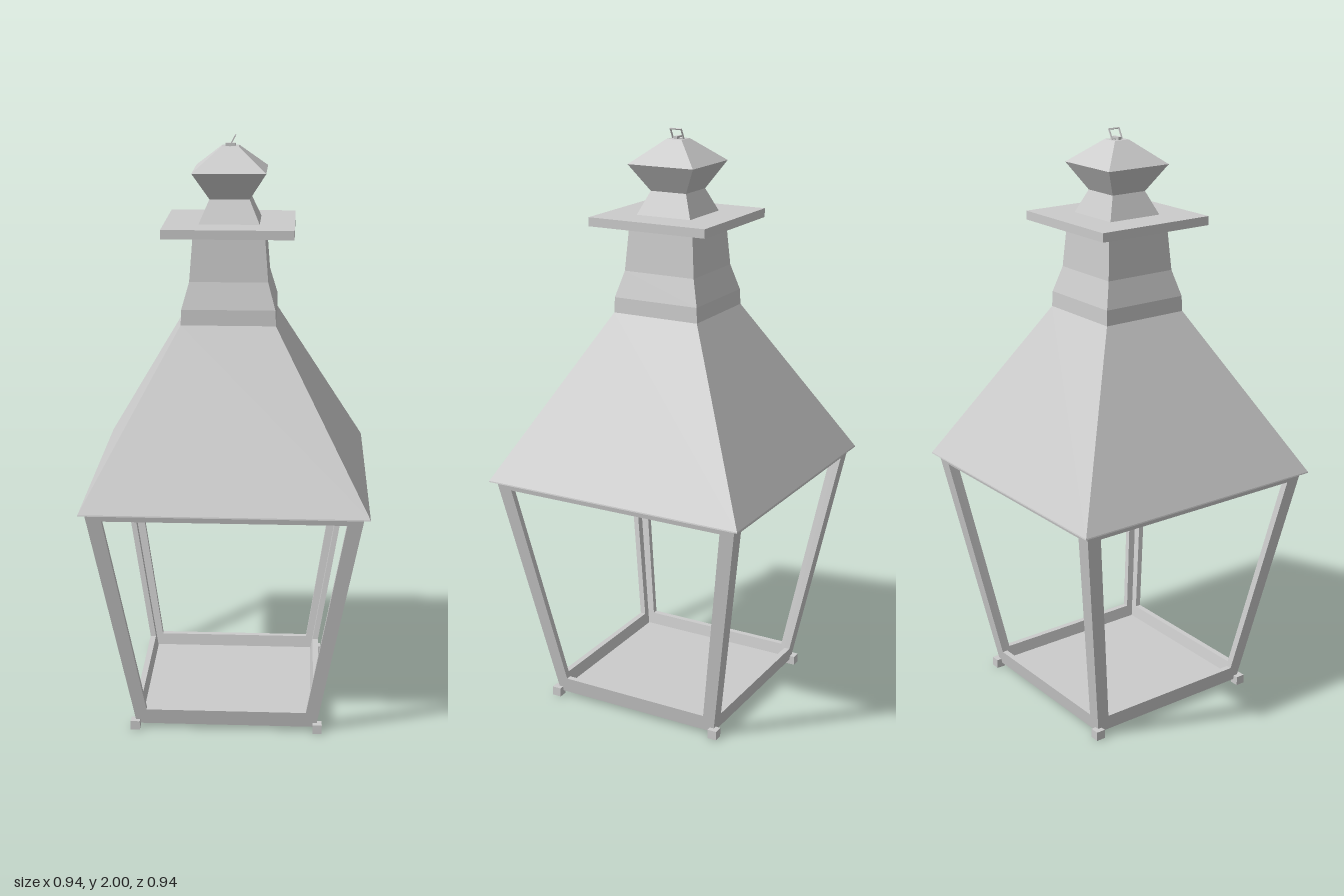
import * as THREE from 'three';

const material = new THREE.MeshStandardMaterial({ color: 0xcccccc, flatShading: true });

function add(parent, name, geometry) {
  const mesh = new THREE.Mesh(geometry, material);
  mesh.name = name;
  parent.add(mesh);
  return mesh;
}

// Closed square solid through [half width, height] sections, bottom to top
function squareLoft(sections) {
  const s = [[0, sections[0][1]], ...sections, [0, sections[sections.length - 1][1]]];
  const points = s.map(([r, y]) => new THREE.Vector2(r * Math.SQRT2, y));
  const g = new THREE.LatheGeometry(points, 4, Math.PI / 4).toNonIndexed();
  g.computeVertexNormals();
  return g;
}

const BOTTOM = 0.016, TOP = 0.837, THICK = 0.02;
const halfWidth = (y) => THREE.MathUtils.mapLinear(y, BOTTOM, TOP, 0.31, 0.452);

// One leaning window frame, mitred at the corners
function frameGeometry() {
  const trapezoid = (w0, y0, w1, y1) =>
    [[-w0, y0], [w0, y0], [w1, y1], [-w1, y1]].map(([x, y]) => new THREE.Vector2(x, y));
  const shape = new THREE.Shape(trapezoid(0.31, BOTTOM, 0.452, TOP));
  shape.holes.push(new THREE.Path(trapezoid(0.275, 0.073, 0.397, 0.81)));
  const g = new THREE.ExtrudeGeometry(shape, { depth: THICK, bevelEnabled: false });
  const p = g.attributes.position;
  for (let i = 0; i < p.count; i++) {
    const x = p.getX(i), h = halfWidth(p.getY(i)), inset = THICK - p.getZ(i);
    if (Math.abs(x) > h - 0.005) p.setX(i, x - Math.sign(x) * inset);
    p.setZ(i, h - inset);
  }
  g.computeVertexNormals();
  return g;
}

export function createModel() {
  const lantern = new THREE.Group();
  lantern.name = 'lantern';

  // Glassless body: four frames, floor and feet
  const frame = frameGeometry();
  const foot = new THREE.BoxGeometry(0.032, 0.032, 0.032);
  for (let i = 0; i < 4; i++) {
    add(lantern, 'windowFrame', frame).rotation.y = i * Math.PI / 2;
    const sx = i % 2 ? 1 : -1, sz = i < 2 ? 1 : -1;
    add(lantern, 'foot', foot).position.set(sx * 0.314, 0.016, sz * 0.314);
  }
  add(lantern, 'floor', squareLoft([[0.291, BOTTOM], [0.291, 0.032]]));

  // Roof sweeping up into the chimney
  add(lantern, 'roof', squareLoft([[0.471, 0.835], [0.47, 0.839], [0.157, 1.395]]));
  add(lantern, 'chimney', squareLoft([[0.157, 1.395], [0.155, 1.447], [0.13, 1.535], [0.118, 1.69]]));
  add(lantern, 'chimneyPlate', squareLoft([[0.215, 1.69], [0.215, 1.72]]));

  // Finial
  add(lantern, 'finialNeck', squareLoft([[0.1, 1.72], [0.066, 1.797]]));
  add(lantern, 'finial', squareLoft([[0.066, 1.797], [0.121, 1.887], [0.028, 1.964]]));

  // Hanging loop leaning out of its staple
  const staple = add(lantern, 'staple', new THREE.BoxGeometry(0.034, 0.012, 0.012));
  staple.position.y = 1.967;
  const loop = new THREE.Group();
  loop.name = 'hangingLoop';
  loop.position.set(-0.002, 1.964, 0);
  loop.rotation.z = -0.5;
  for (const y of [0.002, 0.037]) {
    add(loop, 'loopBar', new THREE.BoxGeometry(0.004, 0.004, 0.044)).position.y = y;
  }
  for (const z of [-0.02, 0.02]) {
    add(loop, 'loopSide', new THREE.BoxGeometry(0.004, 0.035, 0.004)).position.set(0, 0.0195, z);
  }
  lantern.add(loop);
  return lantern;
}
